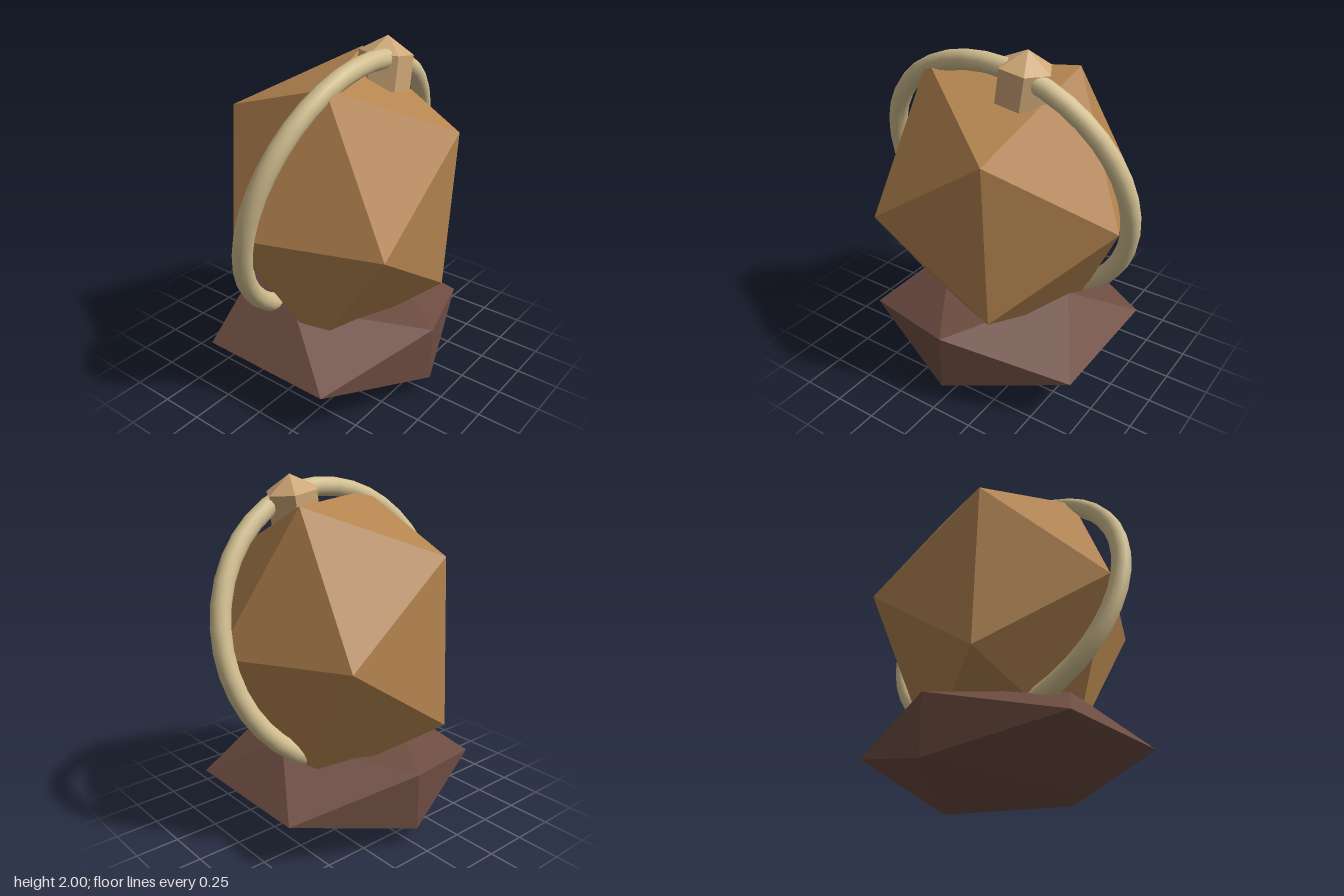
import * as THREE from 'three';

const mat = (color, flatShading = true) => new THREE.MeshStandardMaterial({ color, flatShading });

function addPart(parent, name, geometry, material, position = [0, 0, 0]) {
  const mesh = new THREE.Mesh(geometry, material);
  mesh.name = name;
  mesh.position.set(...position);
  parent.add(mesh);
  return mesh;
}

export function createModel() {
  const model = new THREE.Group();
  model.name = 'boulderOrnament';

  // Squashed faceted stone at the bottom
  const base = addPart(model, 'base', new THREE.IcosahedronGeometry(1, 0), mat(0x6d4c41), [0, 0.27, 0]);
  base.scale.set(0.82, 0.317, 0.785);

  // Large faceted boulder, turned and tipped slightly forward
  const boulder = addPart(model, 'boulder', new THREE.IcosahedronGeometry(1, 0), mat(0xb58550), [0, 1.09, 0]);
  boulder.scale.set(0.784, 0.908, 0.752);
  boulder.rotation.set(0.048, 0.415, 0);

  // Smooth rope hoop leaning forward around the boulder
  const hoop = addPart(model, 'ropeHoop', new THREE.TorusGeometry(0.785, 0.055, 12, 40), mat(0xd2bf90, false), [0, 1.15, 0]);
  hoop.rotation.x = 0.26;

  // Six-sided crystal knot on the hoop: prism with a pointed cap
  const knot = new THREE.Group();
  knot.name = 'crystalKnot';
  knot.position.set(0.215, 1.91, 0.15);
  knot.rotation.z = -0.15;
  const knotMat = mat(0xcfa878);
  const turn = Math.PI / 6;
  addPart(knot, 'knotPrism', new THREE.CylinderGeometry(0.15, 0.15, 0.19, 6, 1, false, turn), knotMat, [0, -0.095, 0]);
  addPart(knot, 'knotCap', new THREE.ConeGeometry(0.15, 0.091, 6, 1, true, turn), knotMat, [0, 0.0455, 0]);
  model.add(knot);

  return model;
}
